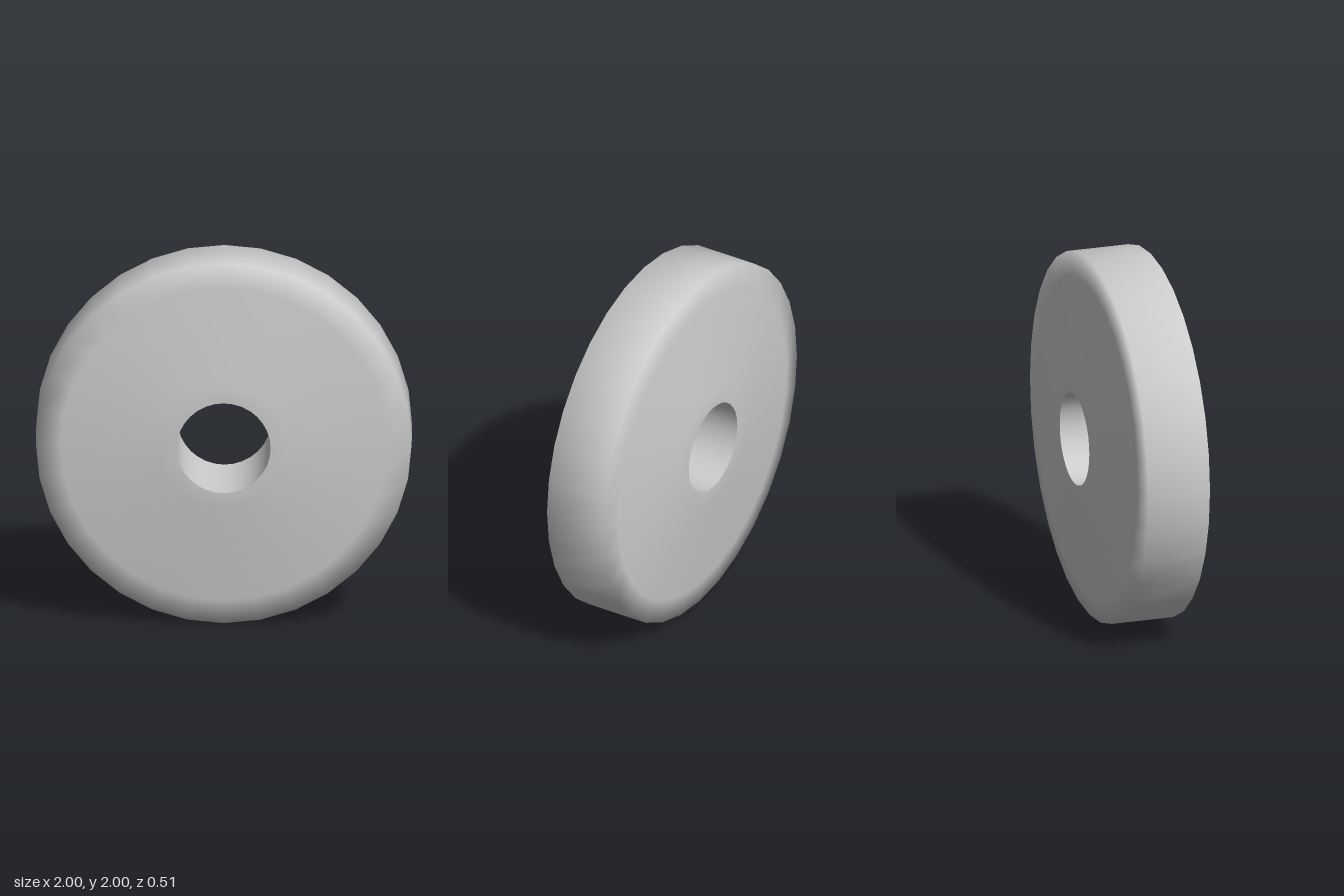
import * as THREE from 'three';

const SIDES = 32;
const material = new THREE.MeshStandardMaterial({ color: 0xcccccc });

// Revolves [radius, z] points around the z axis
function revolve(name, points) {
  const profile = points.map(([r, z]) => new THREE.Vector2(r, z));
  const geometry = new THREE.LatheGeometry(profile, SIDES);
  geometry.rotateX(Math.PI / 2);
  const mesh = new THREE.Mesh(geometry, material);
  mesh.name = name;
  mesh.position.y = 1;
  return mesh;
}

export function createModel() {
  const group = new THREE.Group();
  group.name = 'wheel';

  // Half profile: flat hub, sloping face, soft shoulder, rim
  const half = [[0.25, 0.255], [0.34, 0.255], [0.87, 0.19], [1, 0.173]];
  const back = half.map(([r, z]) => [r, -z]);
  group.add(revolve('wheelBody', [...back, ...half.slice().reverse()]));

  // Axle hole, wound the other way so that it faces inwards
  group.add(revolve('axleHole', [[0.25, 0.255], [0.25, -0.255]]));

  return group;
}
